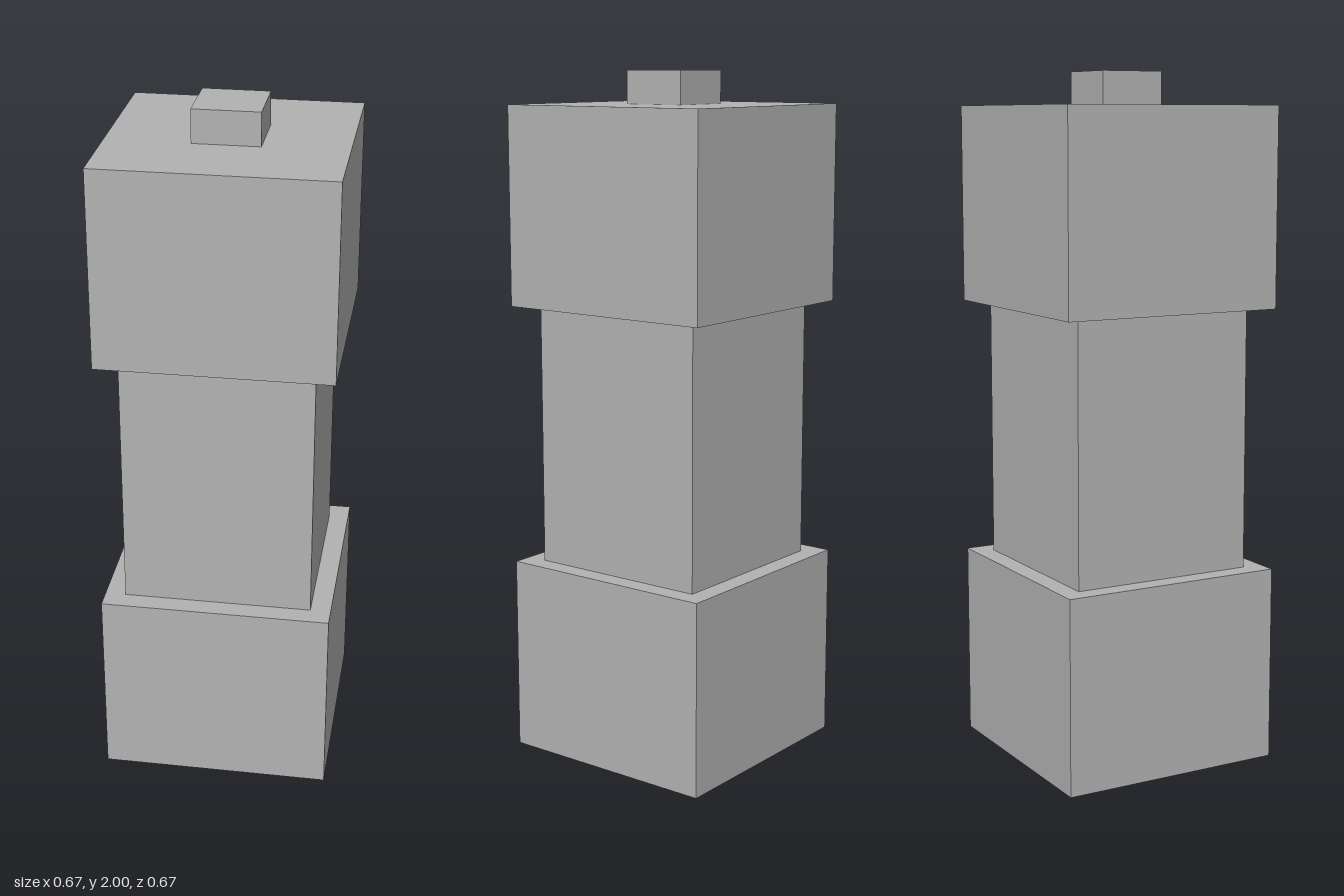
import * as THREE from 'three';

export function createModel() {
  const group = new THREE.Group();
  group.name = 'pillar';
  const grey = new THREE.MeshStandardMaterial({ color: 0xb2b2b2 });
  grey.name = 'grey';

  // Square blocks stacked from the ground up: name, width, bottom, top
  const blocks = [
    ['base', 0.667, 0, 0.571],
    ['shaft', 0.548, 0.571, 1.333],
    ['capital', 0.667, 1.333, 1.905],
    ['topKnob', 0.19, 1.905, 2],
  ];
  for (const [name, width, bottom, top] of blocks) {
    const mesh = new THREE.Mesh(new THREE.BoxGeometry(width, top - bottom, width), grey);
    mesh.name = name;
    mesh.position.y = (bottom + top) / 2;
    group.add(mesh);
  }
  return group;
}
